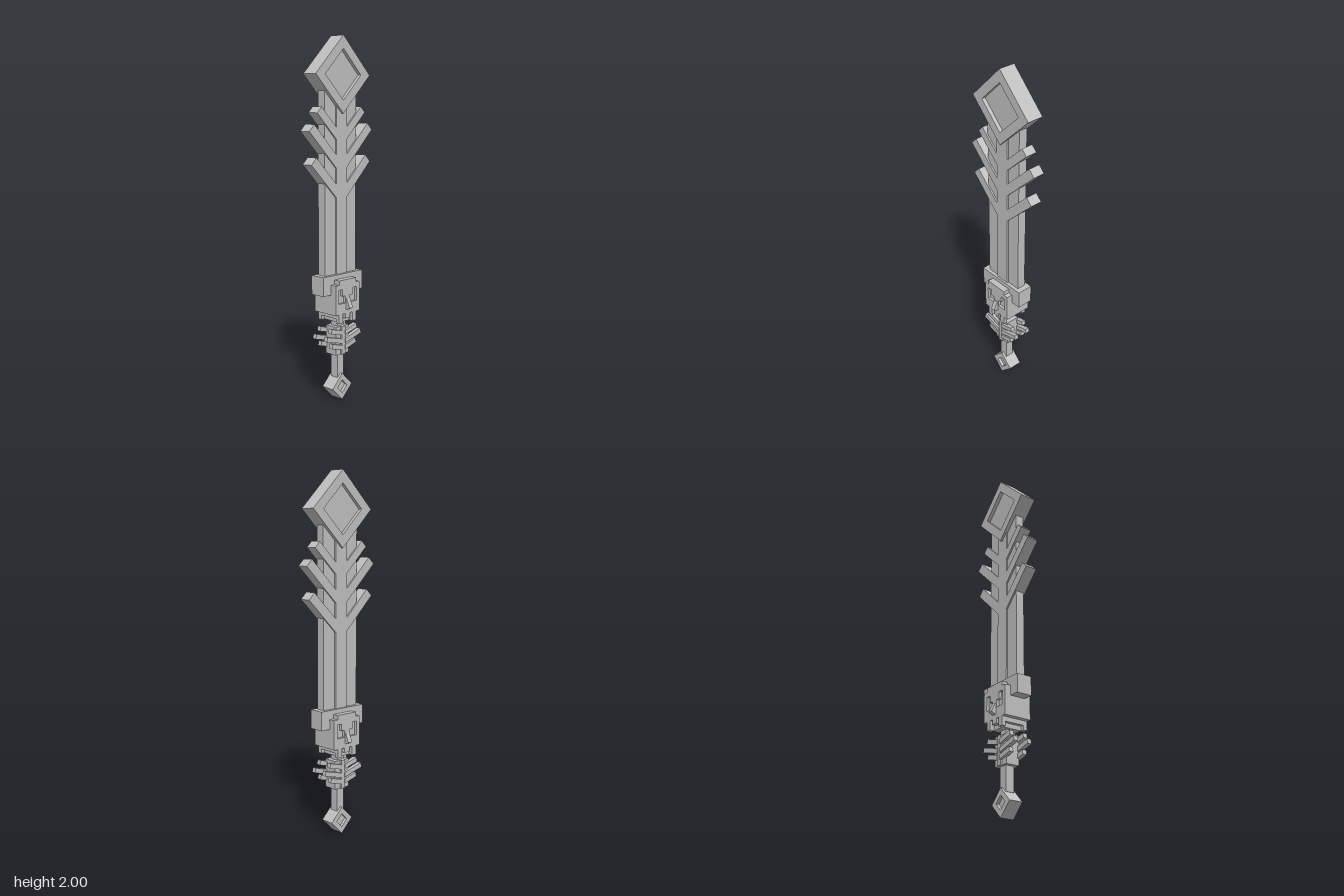
import * as THREE from 'three';

export function createModel() {
  const sword = new THREE.Group();
  sword.name = 'sword';
  const stone = new THREE.MeshStandardMaterial({ color: 0xc0c0c0 });
  stone.name = 'grey stone';

  const add = (name, geometry) => {
    const mesh = new THREE.Mesh(geometry, stone);
    mesh.name = name;
    sword.add(mesh);
    return mesh;
  };
  // Box from half thickness (x), half width (z) and a height range
  const block = (name, hx, hz, y0, y1, x = 0, z = 0) => {
    const mesh = add(name, new THREE.BoxGeometry(hx * 2, y1 - y0, hz * 2));
    mesh.position.set(x, (y0 + y1) / 2, z);
    return mesh;
  };
  // Outline drawn in (z, y), extruded between two x positions
  const slab = (name, outline, holes, x0, x1) => {
    const toPoints = (list) => list.map(([z, y]) => new THREE.Vector2(z, y));
    const shape = new THREE.Shape(toPoints(outline));
    holes.forEach((h) => shape.holes.push(new THREE.Path(toPoints(h))));
    const g = new THREE.ExtrudeGeometry(shape, { depth: x1 - x0, bevelEnabled: false });
    g.rotateY(-Math.PI / 2);
    g.translate(x1, 0, 0);
    return add(name, g);
  };
  const diamond = (y, r) => [[0, y - r], [r, y], [0, y + r], [-r, y]];
  // Diamond frame with a sunken panel on both faces
  const gem = (name, y, outer, inner, hx, floor) => {
    slab(name + 'Frame', diamond(y, outer), [diamond(y, inner)], -hx, hx);
    slab(name + 'Panel', diamond(y, inner + 0.01), [], -floor, floor);
  };

  // Blade
  gem('tip', 1.795, 0.205, 0.135, 0.047, 0.026);
  block('blade', 0.025, 0.12, 0.62, 1.71);
  block('bladeSpine', 0.034, 0.04, 0.62, 1.63);

  // Barbs: outer corner (z, y), width, swept down towards the spine
  const barbs = [[0.182, 1.595, 0.032], [0.24, 1.5, 0.036], [0.225, 1.325, 0.037]];
  for (const side of [1, -1]) {
    for (const [z, y, w] of barbs) {
      const inner = 0.036;
      const run = z - inner;
      let outline = [[z, y], [z - w, y + w], [inner, y + 2 * w - run], [inner, y - run]];
      outline = outline.map(([a, b]) => [a * side, b]);
      slab('barb', outline, [], -0.034, 0.034);
    }
  }

  // Guard and skull
  block('guard', 0.045, 0.152, 0.615, 0.72);
  block('skullCore', 0.066, 0.094, 0.505, 0.67);
  block('skullCrown', 0.081, 0.067, 0.67, 0.695);
  const face = [[-0.094, 0.505], [0.094, 0.505], [0.094, 0.67], [-0.094, 0.67]];
  const eye = (s) => [[0.07, 0.565], [0.018, 0.565], [0.018, 0.605], [0.04, 0.605],
    [0.04, 0.643], [0.07, 0.643]].map(([z, y]) => [z * s, y]);
  for (const side of [1, -1]) {
    slab('skullFace', face, [eye(1), eye(-1)],
      side > 0 ? 0.064 : -0.081, side > 0 ? 0.081 : -0.064);
    const nose = block('nose', 0.014, 0.013, 0.53, 0.585, side * 0.084);
    nose.rotation.z = side * 0.42;
    for (const z of [-0.052, 0.052]) block('tooth', 0.012, 0.015, 0.455, 0.505, side * 0.069, z);
    block('middleTooth', 0.012, 0.018, 0.478, 0.505, side * 0.069);
  }
  block('jaw', 0.058, 0.066, 0.48, 0.505);
  block('jawCore', 0.057, 0.045, 0.455, 0.48);

  // Grip with a rib cage
  block('grip', 0.025, 0.025, 0.13, 0.46);
  block('gripSleeve', 0.04, 0.05, 0.265, 0.425);
  block('ribSpine', 0.05, 0.013, 0.265, 0.425);
  const ribs = [[0.1, 0.413], [0.134, 0.375], [0.094, 0.328]];
  for (const side of [1, -1]) {
    for (const zSide of [1, -1]) {
      for (const [z, y] of ribs) {
        const drop = (z - 0.01) * 0.27;
        const outline = [[z - 0.004, y + 0.013], [0.01, y + 0.013 - drop],
          [0.01, y - 0.013 - drop], [z + 0.002, y - 0.013]].map(([a, b]) => [a * zSide, b]);
        slab('rib', outline, [], side > 0 ? 0.03 : -0.055, side > 0 ? 0.055 : -0.03);
      }
    }
  }

  // Pommel
  gem('pommel', 0.076, 0.076, 0.038, 0.04, 0.022);

  return sword;
}
